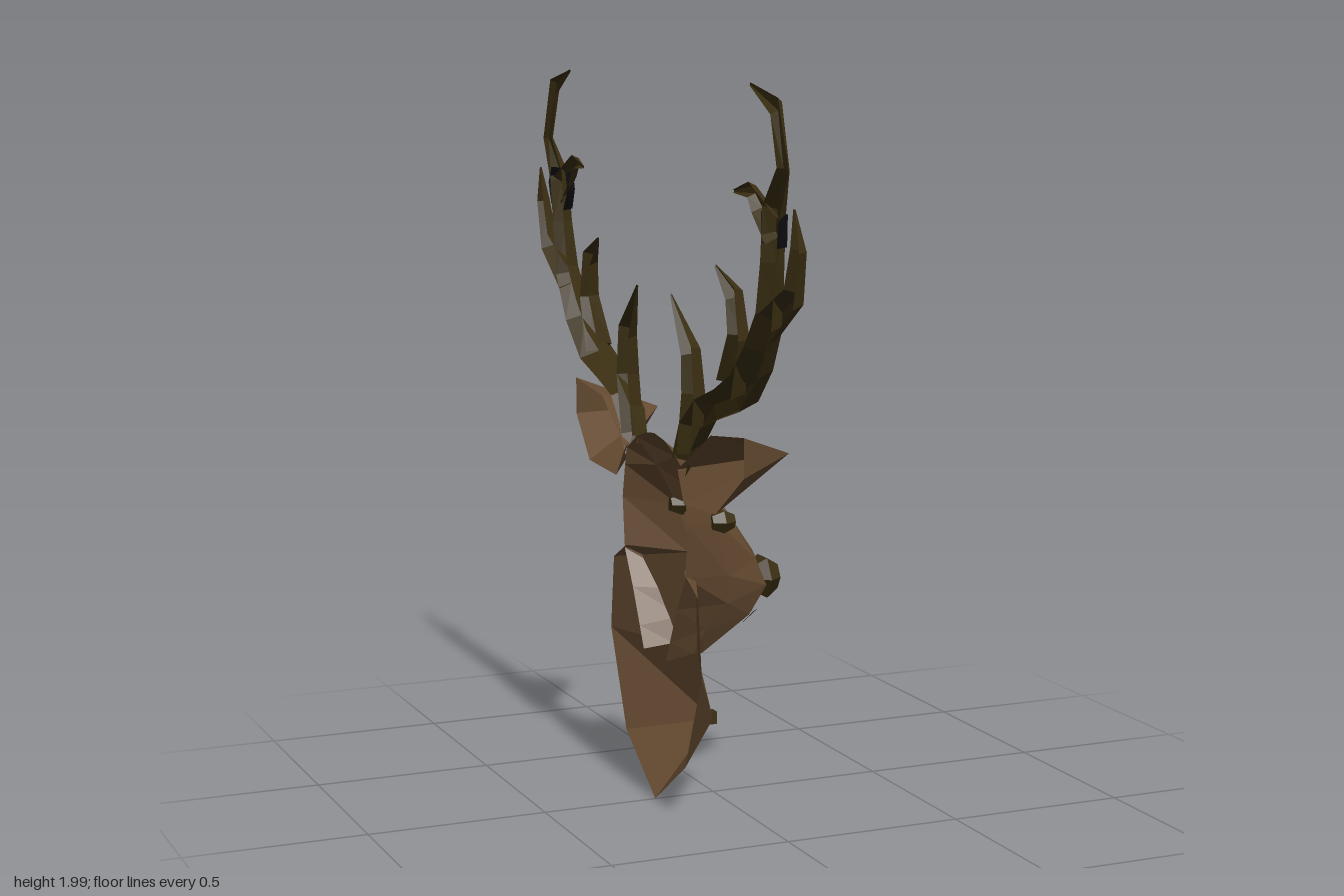
import * as THREE from 'three';

const BACK = -0.175; // flat wall plane of the trophy

const flat = (name, color) => {
  const m = new THREE.MeshStandardMaterial({ color, flatShading: true, side: THREE.DoubleSide });
  m.name = name;
  return m;
};

// Open relief surface from triangles; every face is wound to look towards +x
function relief(tris) {
  const pos = [];
  for (const tri of tris) {
    const [a, b, c] = tri.map(p => new THREE.Vector3(...p));
    const n = b.clone().sub(a).cross(c.clone().sub(a));
    for (const p of n.x < 0 ? [a, c, b] : [a, b, c]) pos.push(p.x, p.y, p.z);
  }
  const g = new THREE.BufferGeometry();
  g.setAttribute('position', new THREE.Float32BufferAttribute(pos, 3));
  g.computeVertexNormals();
  return g;
}

// Triangles between neighbouring rows of points
function loft(rows) {
  const tris = [];
  for (let i = 0; i < rows.length - 1; i++) {
    for (let j = 0; j < rows[i].length - 1; j++) {
      const a = rows[i][j], b = rows[i][j + 1], c = rows[i + 1][j], d = rows[i + 1][j + 1];
      tris.push([a, b, c], [b, d, c]);
    }
  }
  return tris;
}

const flip = tris => tris.map(t => t.map(([x, y, z]) => [x, y, -z]));

// Half-round horn along points [z, y, half width, depth]
function horn(path) {
  const rows = path.map(([z, y, w, d], i) => {
    const p = path[Math.max(i - 1, 0)], q = path[Math.min(i + 1, path.length - 1)];
    const len = Math.hypot(q[0] - p[0], q[1] - p[1]);
    const nz = -(q[1] - p[1]) / len, ny = (q[0] - p[0]) / len;
    return [0, 1, 2, 3].map(k => {
      const a = k * Math.PI / 3, s = w * Math.cos(a);
      return [BACK + d * Math.sin(a), y + ny * s, z + nz * s];
    });
  });
  return loft(rows);
}

export function createModel() {
  const model = new THREE.Group();
  const fur = flat('brown fur', 0x664b31);
  const antlerMat = flat('dark antler', 0x3b2f12);
  const black = flat('black', 0x0e0e12);

  const add = (name, geometry, material) => {
    const mesh = new THREE.Mesh(geometry, material);
    mesh.name = name;
    model.add(mesh);
    return mesh;
  };
  const addBoth = (name, tris, material) => {
    add(name + 'Left', relief(tris), material);
    add(name + 'Right', relief(flip(tris)), material);
  };

  // Head: rows run from the centre line out to the wall
  addBoth('head', loft([
    [[BACK, 1.04, 0], [BACK, 1.03, 0.07], [BACK, 1.01, 0.13], [BACK, 0.97, 0.2]],
    [[-0.085, 0.965, 0], [-0.09, 0.96, 0.06], [-0.12, 0.93, 0.12], [BACK, 0.92, 0.215]],
    [[0.02, 0.82, 0], [0.015, 0.82, 0.06], [-0.05, 0.81, 0.135], [BACK, 0.825, 0.235]],
    [[0.12, 0.69, 0], [0.1, 0.68, 0.06], [0, 0.65, 0.115], [BACK, 0.68, 0.22]],
    [[0.16, 0.6, 0], [0.14, 0.6, 0.05], [0, 0.57, 0.1], [BACK, 0.58, 0.16]],
    [[0.11, 0.52, 0], [0.09, 0.52, 0.045], [-0.06, 0.5, 0.09], [BACK, 0.48, 0.11]],
    [[-0.05, 0.42, 0], [-0.055, 0.425, 0.05], [-0.09, 0.43, 0.07], [BACK, 0.42, 0.08]],
  ]), fur);

  // Neck and chest
  const throat = [-0.06, 0.7, 0], chin = [-0.05, 0.42, 0], chest = [0, 0.22, 0], foot = [BACK, 0.01, 0];
  const low = [BACK, 0.155, 0.215], wide = [BACK, 0.43, 0.33], shoulder = [BACK, 0.64, 0.305], nape = [BACK, 0.69, 0.21];
  addBoth('neck', [
    [foot, low, chest], [chest, low, wide], [chest, wide, chin],
    [chin, wide, shoulder], [chin, shoulder, throat], [throat, shoulder, nape],
  ], fur);

  // Ears: a fan of facets around one forward point
  const earPeak = [0.02, 1.04, 0.45];
  const earRim = [
    [BACK, 1.115, 0.6], [BACK, 1.01, 0.6], [-0.19, 0.895, 0.455],
    [-0.19, 0.885, 0.245], [-0.185, 0.97, 0.19], [BACK, 1.09, 0.39],
  ];
  addBoth('ear', earRim.map((p, i) => [earPeak, p, earRim[(i + 1) % earRim.length]]), fur);

  // Antlers: main beam and its tines
  const horns = {
    antlerBeam: [[0.17, 0.97, 0.05, 0.05], [0.215, 1.06, 0.05, 0.06], [0.3, 1.135, 0.04, 0.06],
      [0.42, 1.175, 0.04, 0.07], [0.54, 1.22, 0.052, 0.07], [0.64, 1.31, 0.055, 0.06],
      [0.715, 1.42, 0.05, 0.05], [0.74, 1.56, 0.045, 0.04], [0.755, 1.69, 0.05, 0.035],
      [0.825, 1.8, 0.035, 0.012], [0.775, 1.95, 0.03, 0.018], [0.63, 2, 0.004, 0.002]],
    browTine: [[0.2, 1.0, 0.04, 0.05], [0.235, 1.17, 0.042, 0.05],
      [0.225, 1.29, 0.038, 0.04], [0.12, 1.43, 0.004, 0.004]],
    middleTine: [[0.47, 1.22, 0.05, 0.06], [0.53, 1.36, 0.035, 0.045],
      [0.51, 1.47, 0.032, 0.035], [0.415, 1.535, 0.004, 0.004]],
    outerTine: [[0.71, 1.4, 0.045, 0.045], [0.86, 1.49, 0.035, 0.04],
      [0.895, 1.61, 0.026, 0.03], [0.89, 1.71, 0.004, 0.004]],
    innerTine: [[0.75, 1.65, 0.045, 0.035], [0.66, 1.71, 0.03, 0.03],
      [0.62, 1.74, 0.02, 0.025], [0.53, 1.73, 0.004, 0.004]],
  };
  for (const [name, path] of Object.entries(horns)) addBoth(name, horn(path), antlerMat);

  // Black patch at each upper fork
  add('forkPatchLeft', relief(horn([[0.747, 1.61, 0.047, 0.044], [0.752, 1.69, 0.052, 0.042]])), black);
  add('forkPatchRight', relief(flip(horn([[0.747, 1.6, 0.05, 0.044], [0.74, 1.66, 0.08, 0.044],
    [0.735, 1.71, 0.06, 0.04]]))), black);

  // Nose and eyes: six-sided knobs pointing forward
  const knob = (name, r, depth, x, y, z) => {
    const profile = [[0, -1], [0.6, -1], [1, 0], [0.6, 1], [0, 1]];
    const g = new THREE.LatheGeometry(profile.map(([a, b]) => new THREE.Vector2(a * r, b * depth)), 6);
    g.rotateZ(-Math.PI / 2);
    add(name, g, antlerMat).position.set(x, y, z);
  };
  knob('nose', 0.065, 0.038, 0.15, 0.615, 0);
  knob('eyeLeft', 0.035, 0.033, -0.037, 0.81, 0.145);
  knob('eyeRight', 0.035, 0.033, -0.037, 0.81, -0.145);

  // Mouth: thin facets under the muzzle
  add('mouth', relief([
    [[0.113, 0.535, 0.05], [0.122, 0.518, 0.005], [0.07, 0.49, 0.03]],
    [[0.113, 0.54, -0.05], [0.122, 0.518, -0.005], [0.07, 0.49, -0.03]],
    [[0.1, 0.508, 0.012], [0.08, 0.495, -0.035], [-0.03, 0.428, -0.005]],
  ]), black);

  // Small dark tuft on the chest
  add('chestTuft', new THREE.BoxGeometry(0.03, 0.035, 0.03), antlerMat).position.set(-0.015, 0.23, 0.014);

  return model;
}
